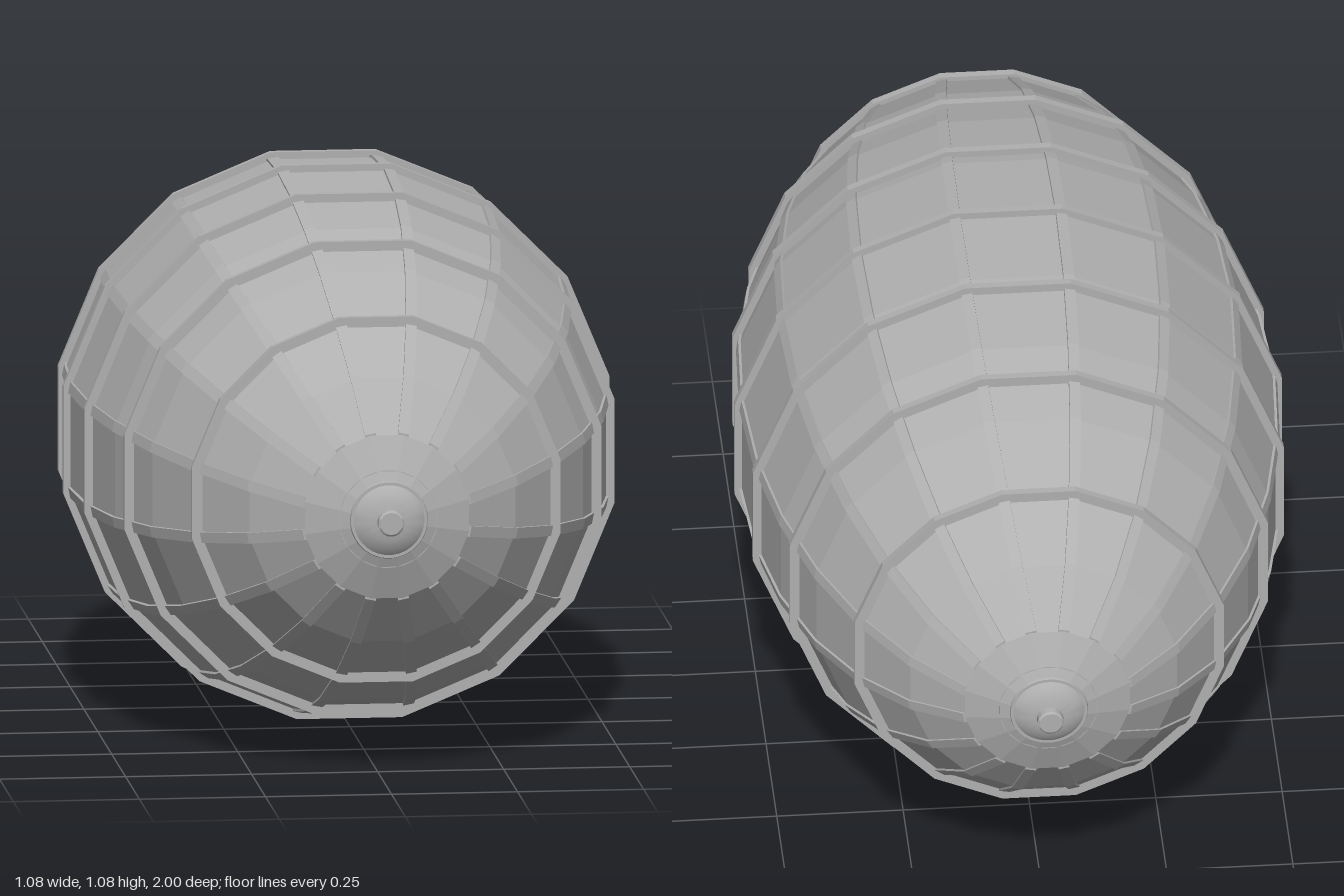
import * as THREE from 'three';
import { toCreasedNormals } from 'three/addons/utils/BufferGeometryUtils.js';

const SIDES = 16, RADIUS = 0.538, HALF = 0.966;
const RAISE = 0.014;                                   // how far the hoops stand out
const CENTRE = (RADIUS + RAISE) * Math.cos(Math.PI / SIDES);
const radiusAt = (z) => RADIUS * Math.sqrt(1 - (z / HALF) ** 2);

// Turned part lying along z
function turned(points, sides, crease) {
  const pts = points.map(([r, z]) => new THREE.Vector2(r, z));
  const geo = new THREE.LatheGeometry(pts, sides, Math.PI / sides);
  geo.rotateX(Math.PI / 2).scale(1, 1, 1);
  return toCreasedNormals(geo, crease);
}

export function createModel() {
  const group = new THREE.Group();
  const metal = new THREE.MeshStandardMaterial({ color: 0xb0b0b0 });
  metal.name = 'plain grey';
  const hull = new THREE.Group();
  hull.position.y = CENTRE;
  group.add(hull);
  const add = (geo, name) => {
    const mesh = new THREE.Mesh(geo, metal);
    mesh.name = name;
    hull.add(mesh);
    return mesh;
  };

  // Faceted ellipsoid shell, a row every 12 degrees
  const profile = [];
  for (let deg = -84; deg <= 84; deg += 12) {
    const a = THREE.MathUtils.degToRad(deg);
    profile.push([RADIUS * Math.cos(a), HALF * Math.sin(a)]);
  }
  // Lathe y becomes -z or z under rotation; the profile is symmetric
  add(turned(profile, SIDES, 0.03), 'shell');

  // Hoops around the shell
  const h = 0.008;
  for (const z of [-0.72, -0.475, -0.235, 0, 0.235, 0.475, 0.72]) {
    const ro = radiusAt(z) + RAISE, ri = ro - 0.04;
    const geo = turned([[ri, -h], [ro, -h], [ro, h], [ri, h]], SIDES, 0.03);
    add(geo, 'hoop').position.z = z;
  }

  // Lengthwise ribs along the shell corners
  const run = profile.slice(1, -1);
  const shape = new THREE.Shape([
    ...run.map(([r, z]) => new THREE.Vector2(z, r + 0.003)),
    ...run.slice().reverse().map(([r, z]) => new THREE.Vector2(z, r - 0.02)),
  ]);
  const width = 0.022;
  const ribGeo = new THREE.ExtrudeGeometry(shape, { depth: width, bevelEnabled: false });
  ribGeo.translate(0, 0, -width / 2).rotateY(Math.PI / 2);
  for (let i = 0; i < SIDES; i++) {
    add(ribGeo, 'rib').rotation.z = ((i + 0.5) * 2 * Math.PI) / SIDES;
  }

  // Stepped end caps with a dome and a small knob
  const capGeo = turned([
    [0.098, 0.9], [0.098, 0.945], [0.08, 0.945], [0.076, 0.957], [0.07, 0.957],
    [0.058, 0.966], [0.038, 0.973], [0.017, 0.976], [0.017, 0.98],
    [0.026, 0.982], [0.026, 0.997], [0.022, 1], [0, 1],
  ], 32, 0.6);
  add(capGeo, 'frontCap');
  add(capGeo, 'backCap').rotation.y = Math.PI;

  return group;
}
